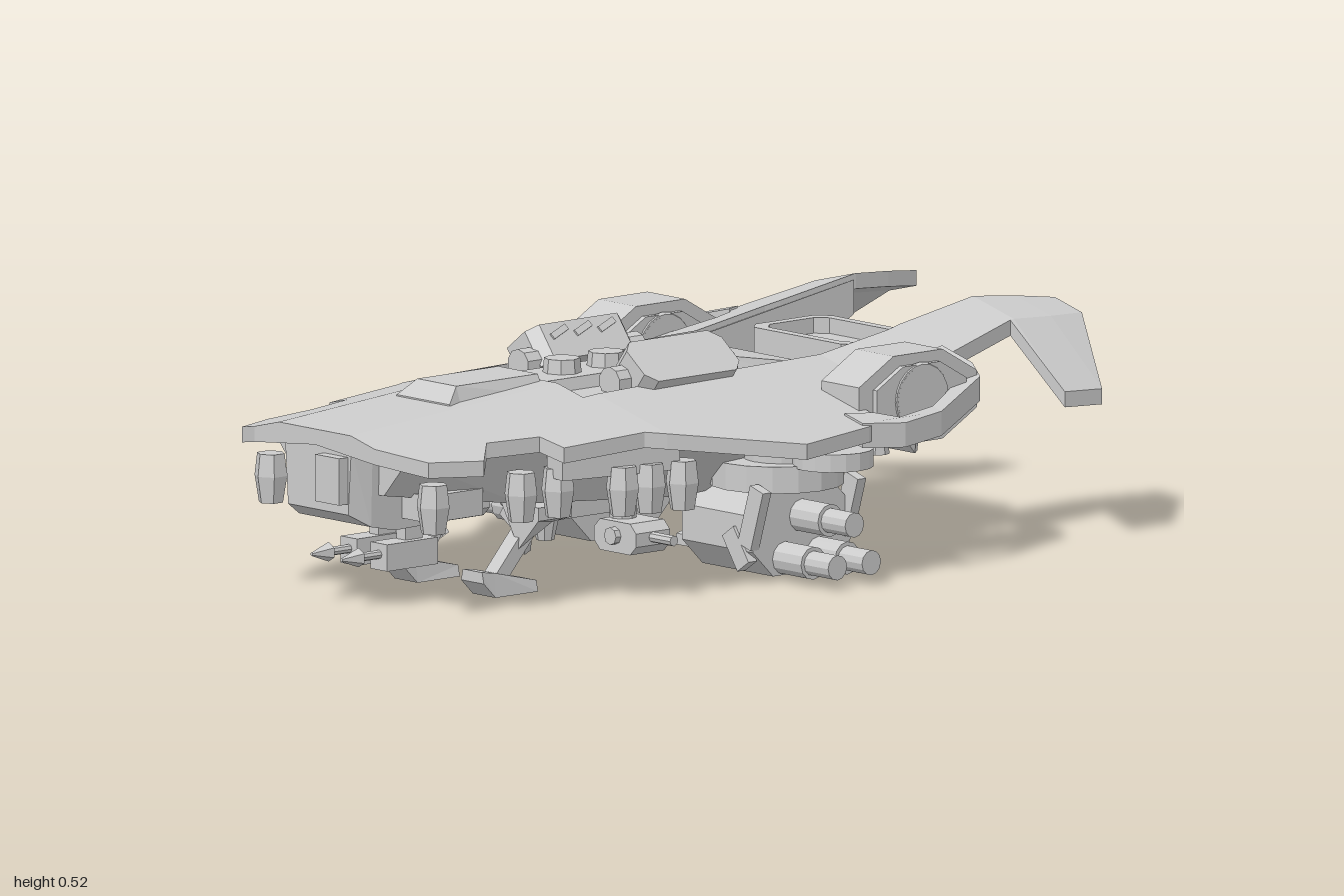
import * as THREE from 'three';

const mat = new THREE.MeshStandardMaterial({ color: 0xcccccc, flatShading: true, side: THREE.DoubleSide });

function add(parent, name, geo, pos = [0, 0, 0], rot = [0, 0, 0]) {
  const m = new THREE.Mesh(geo, mat);
  m.name = name;
  m.position.set(...pos);
  m.rotation.set(...rot);
  parent.add(m);
  return m;
}
const box = (w, h, d) => new THREE.BoxGeometry(w, h, d);
const cyl = (r1, r2, h, n = 8) => new THREE.CylinderGeometry(r1, r2, h, n);
const AXIS_X = [0, 0, -Math.PI / 2], AXIS_Z = [Math.PI / 2, 0, 0];

// Skin a list of cross-sections (front to back, corners counter-clockwise seen from the front)
function loft(sections) {
  const n = sections[0].length, pos = sections.flat(2), idx = [];
  for (let s = 0; s < sections.length - 1; s++)
    for (let i = 0; i < n; i++) {
      const a = s * n + i, b = s * n + (i + 1) % n;
      idx.push(a, a + n, b, b, a + n, b + n);
    }
  const e = (sections.length - 1) * n;
  for (let i = 1; i < n - 1; i++) idx.push(0, i, i + 1, e, e + i + 1, e + i);
  const g = new THREE.BufferGeometry();
  g.setAttribute('position', new THREE.Float32BufferAttribute(pos, 3));
  g.setIndex(idx);
  const flat = g.toNonIndexed();
  flat.computeVertexNormals();
  return flat;
}
// Symmetric section: half widths at top and bottom, with their heights
const trap = ([z, wt, wb, yt, yb]) => [[-wb, yb, z], [wb, yb, z], [wt, yt, z], [-wt, yt, z]];

// Height of the armour shell at any plan position
const RIDGE = [[1, 0.4], [0.3, 0.455], [-0.33, 0.465], [-0.8, 0.54], [-1, 0.525]];
function shellY(x, z) {
  let i = 0;
  while (i < RIDGE.length - 2 && z < RIDGE[i + 1][0]) i++;
  const [z0, y0] = RIDGE[i], [z1, y1] = RIDGE[i + 1];
  const y = y0 + (y1 - y0) * (z - z0) / (z1 - z0);
  const droop = z < -0.7 ? 0.58 * Math.max(0, x - 0.33) : 0;
  return y - 0.25 * Math.max(0, x - 0.12) - droop;
}

// Half of the shell: z, inner x, outer x
const PLAN = [
  [0.98, 0, 0.2], [0.92, 0, 0.31], [0.8, 0, 0.36], [0.73, 0, 0.29], [0.6, 0, 0.32], [0.59, 0, 0.39],
  [0.371, 0, 0.41], [0.37, 0.205, 0.41], [0.33, 0.205, 0.44], [0.06, 0.205, 0.6], [-0.15, 0.205, 0.57],
  [-0.21, 0.205, 0.55], [-0.215, 0.205, 0.37], [-0.33, 0.205, 0.36], [-0.43, 0.205, 0.33], [-0.48, 0.205, 0.31],
  [-0.53, 0.205, 0.32], [-0.57, 0.2, 0.37], [-0.78, 0.195, 0.33], [-0.79, 0.195, 0.5], [-0.9, 0.21, 0.5], [-1, 0.23, 0.32],
];
function shellHalf() {
  return loft(PLAN.map(([z, xi, xo]) => {
    const xs = [xi, 0.12, 0.33, xo].map(x => Math.min(xo, Math.max(xi, x)));
    const top = xs.map(x => [x, shellY(x, z), z]);
    const low = xs.map(x => [x, shellY(x, z) - 0.035, z]);
    return [...low, ...top.reverse()];
  }));
}

// Curved guard around the side fan, bent to follow the shell
function fanGuard() {
  const pts = [[0.56, 0.14], [0.59, 0.24], [0.575, 0.36], [0.5, 0.54], [0.44, 0.57], [0.34, 0.57],
    [0.34, 0.545], [0.43, 0.545], [0.48, 0.5], [0.545, 0.36], [0.56, 0.25], [0.52, 0.21], [0.5, 0.14]];
  const g = new THREE.ExtrudeGeometry(new THREE.Shape(pts.map(p => new THREE.Vector2(...p))),
    { depth: 0.055, bevelEnabled: false });
  g.rotateX(-Math.PI / 2);
  const p = g.attributes.position;
  for (let i = 0; i < p.count; i++) p.setY(i, p.getY(i) + shellY(p.getX(i), p.getZ(i)) - 0.05);
  g.computeVertexNormals();
  return g;
}

function chamferRect(w, d, c, Type = THREE.Shape) {
  return new Type([[-w, -d + c], [-w + c, -d], [w - c, -d], [w, -d + c], [w, d - c], [w - c, d], [-w + c, d], [-w, d - c]]
    .map(p => new THREE.Vector2(...p)));
}
const chamferBlock = (w, d, c, depth) => new THREE.ExtrudeGeometry(chamferRect(w, d, c), { depth, bevelEnabled: false });

// Everything that exists once on each side, built for +x
function buildSide() {
  const s = new THREE.Group();
  add(s, 'armourShell', shellHalf());
  // Deep boom under the tail
  add(s, 'tailBoom', loft([[-0.1, 0.36, 0.21], [-0.35, 0.33, 0.235], [-0.57, 0.31, 0.315], [-0.78, 0.29, 0.43]].map(
    ([z, x, yb]) => [[0.19, yb, z], [0.23, yb, z], [x, shellY(x, z) - 0.02, z], [0.19, shellY(0.2, z) - 0.01, z]])));

  // Side fan: octagonal cowl, wider middle band and ringed faces
  const fan = new THREE.Group();
  fan.name = 'sideFan';
  fan.position.set(0.428, 0.38, -0.365);
  for (const [name, r, w] of [['fanCowl', 0.145, 0.125], ['fanBand', 0.11, 0.15]])
    add(fan, name, cyl(r, r, w).rotateY(Math.PI / 8).rotateZ(-Math.PI / 2).scale(1, 0.75, 1.3));
  for (const d of [-1, 1]) {
    add(fan, 'fanRing', new THREE.TorusGeometry(0.072, 0.009, 6, 20), [d * 0.07, 0, 0], [0, Math.PI / 2, 0]);
    add(fan, 'fanDisc', cyl(0.072, 0.072, 0.01, 20), [d * 0.073, 0, 0], AXIS_X);
  }
  add(fan, 'fanAxle', cyl(0.025, 0.025, 0.12, 8), [-0.09, 0, 0], AXIS_X);
  s.add(fan);
  add(s, 'fanGuard', fanGuard());

  // Sideways gun turret hanging below the wing
  add(s, 'turretArm', cyl(0.09, 0.09, 0.04, 16), [0.495, 0.277, -0.11]);
  add(s, 'turretPillar', cyl(0.09, 0.09, 0.09, 16), [0.36, 0.3, -0.085]);
  add(s, 'turretBearing', cyl(0.15, 0.15, 0.06, 16), [0.335, 0.232, -0.085]);
  add(s, 'turretBody', chamferBlock(0.145, 0.1, 0.06, 0.235).rotateY(Math.PI / 2), [0.185, 0.112, -0.085]);
  for (const [y, z] of [[0.05, -0.035], [0.05, -0.135], [0.14, -0.085]]) {
    add(s, 'barrelSleeve', cyl(0.037, 0.037, 0.17, 12), [0.43, y, z], AXIS_X);
    add(s, 'barrel', cyl(0.028, 0.028, 0.1, 12), [0.545, y, z], AXIS_X);
  }
  for (const z of [0.055, -0.225]) {
    add(s, 'turretBracket', box(0.045, 0.14, 0.025), [0.42, 0.15, z], [0, 0, -0.3]);
    add(s, 'turretClaw', box(0.045, 0.09, 0.025), [0.37, 0.075, z], [0, 0, 0.6]);
  }

  // Door gun
  add(s, 'doorGunBody', chamferBlock(0.07, 0.035, 0.02, 0.1), [0.3, 0.127, 0.26]);
  add(s, 'doorGunBarrel', cyl(0.012, 0.012, 0.08), [0.4, 0.13, 0.31], AXIS_X);
  add(s, 'doorGunSight', cyl(0.02, 0.02, 0.02), [0.3, 0.13, 0.365], AXIS_Z);
  add(s, 'doorGunMount', cyl(0.03, 0.03, 0.08), [0.27, 0.19, 0.31]);

  // Small lift thrusters along the underside
  for (const [x, z] of [[0.27, 0.87], [0.28, 0.62], [0.29, 0.52], [0.37, 0.4], [0.38, 0.33], [0.4, 0.25]]) {
    add(s, 'thrusterHousing', cyl(0.032, 0.038, 0.05, 6), [x, 0.275, z]);
    add(s, 'thrusterNozzle', cyl(0.038, 0.028, 0.06, 6), [x, 0.22, z]);
  }
  add(s, 'thrusterFairing', box(0.07, 0.06, 0.3), [0.34, 0.31, 0.4], [0, -0.2, 0]);
  add(s, 'chinBlock', box(0.1, 0.06, 0.16), [0.16, 0.23, 0.75]);

  // Landing legs: front and rear, with upturned toes
  for (const [x, z, d] of [[0.13, 0.55, 1], [0.05, -0.24, -1]]) {
    const toe = [[0.08, 0.035, 0.06], [0.045, 0, 0.055], [-0.08, 0, 0.025]].map(([dz, lo, hi]) => [z + d * dz, lo, hi]);
    if (d < 0) toe.reverse();
    add(s, 'foot', loft(toe.map(
      ([fz, lo, hi]) => [[x - 0.038, lo, fz], [x + 0.038, lo, fz], [x + 0.032, hi, fz], [x - 0.032, hi, fz]])));
    add(s, 'legStrut', box(0.04, 0.2, 0.035), [x + 0.01, 0.11, z - d * 0.04], [-d * 0.65, 0, -0.1]);
    add(s, 'legBrace', box(0.015, 0.13, 0.02), [x + 0.035, 0.14, z - d * 0.05], [d * 0.4, 0, -0.5]);
  }
  add(s, 'legFairing', loft([[0.52, 0.08], [0.42, 0.03]].map(
    ([z, h]) => [[0.16, 0.18 - h, z], [0.225, 0.17, z], [0.225, 0.2, z], [0.1, 0.2, z]])));

  // Chin gun with a pointed muzzle
  add(s, 'chinGunBody', box(0.055, 0.06, 0.15), [0.05, 0.105, 0.76]);
  add(s, 'chinGunBarrel', cyl(0.01, 0.01, 0.1), [0.05, 0.11, 0.87], AXIS_Z);
  add(s, 'chinGunMuzzle', cyl(0.004, 0.022, 0.05, 6), [0.05, 0.11, 0.92], AXIS_Z);
  add(s, 'chinGunMount', box(0.03, 0.08, 0.05), [0.045, 0.16, 0.74]);

  // Canted pod on the upper deck, with a row of slanted vents
  const upper = new THREE.Group();
  upper.name = 'deckPod';
  upper.position.set(0.172, 0.45, 0.07);
  upper.rotation.z = -0.65;
  add(upper, 'podBody', chamferBlock(0.062, 0.14, 0.025, 0.09).rotateX(-Math.PI / 2), [0, -0.045, 0]);
  for (const z of [-0.15, 0.15]) add(upper, 'podCap', cyl(0.035, 0.035, 0.05, 10), [-0.01, -0.02, z], AXIS_Z);
  for (let i = 0; i < 3; i++) add(upper, 'podVent', box(0.012, 0.015, 0.055), [-0.06, 0.02, -0.07 + i * 0.07], [0.35, 0, 0]);
  s.add(upper);
  return s;
}

export function createModel() {
  const model = new THREE.Group();
  model.name = 'gunship';
  for (const side of [1, -1]) {
    const s = buildSide();
    s.name = side > 0 ? 'leftSide' : 'rightSide';
    s.scale.x = side;
    model.add(s);
  }

  // Hull below the shell and the nose cabin
  add(model, 'hull', loft([
    [0.9, 0.22, 0.14, 0.35, 0.26], [0.55, 0.29, 0.2, 0.36, 0.21], [0.1, 0.42, 0.24, 0.34, 0.18],
    [-0.15, 0.36, 0.2, 0.36, 0.19], [-0.33, 0.2, 0.17, 0.4, 0.24]].map(trap)));
  add(model, 'noseCabin', loft([
    [0.97, 0.11, 0.1, 0.37, 0.22], [0.92, 0.125, 0.12, 0.375, 0.19], [0.85, 0.125, 0.12, 0.38, 0.175],
    [0.62, 0.125, 0.12, 0.38, 0.18]].map(trap)));
  add(model, 'noseWindow', box(0.08, 0.105, 0.05), [0.06, 0.297, 0.972]);
  add(model, 'bellyKeel', box(0.14, 0.07, 0.26), [0, 0.165, 0.22]);
  add(model, 'bellySensor', cyl(0.035, 0.02, 0.07), [0, 0.11, 0.3]);
  for (const a of [-1, 1]) add(model, 'bellyBrace', box(0.05, 0.03, 0.6), [0, 0.19, 0.2], [0, a * 0.6, 0]);

  // Recessed upper deck, hatches and intake
  add(model, 'upperDeck', loft([
    [0.365, 0.204, 0.204, 0.418, 0.3], [-0.15, 0.204, 0.204, 0.418, 0.3], [-0.33, 0.204, 0.204, 0.39, 0.28]].map(trap)));
  add(model, 'deckSpine', loft([
    [0.365, 0.07, 0.08, 0.445, 0.41], [-0.15, 0.07, 0.08, 0.445, 0.41], [-0.33, 0.17, 0.18, 0.42, 0.38]].map(trap)));
  for (const z of [0.25, 0.12, 0]) add(model, 'roofHatch', cyl(0.04, 0.045, 0.05, 8), [0, 0.452, z]);
  add(model, 'roofIntake', loft([
    [0.66, 0.088, 0.09, 0.43, 0.4], [0.62, 0.065, 0.088, 0.464, 0.4], [0.38, 0.065, 0.088, 0.464, 0.42]].map(trap)));

  // Rear hopper between the booms, with nozzles underneath
  const rim = chamferRect(0.175, 0.115, 0.03);
  rim.holes.push(chamferRect(0.15, 0.09, 0.025, THREE.Path));
  add(model, 'hopperWall', new THREE.ExtrudeGeometry(rim, { depth: 0.165, bevelEnabled: false })
    .rotateX(-Math.PI / 2), [0, 0.28, -0.56]);
  add(model, 'hopperFloor', box(0.31, 0.13, 0.19), [0, 0.345, -0.56]);
  add(model, 'hopperBase', loft([
    [-0.445, 0.145, 0.145, 0.29, 0.26], [-0.6, 0.175, 0.17, 0.29, 0.23], [-0.645, 0.175, 0.165, 0.29, 0.18],
    [-0.675, 0.145, 0.14, 0.29, 0.18]].map(trap)));
  add(model, 'hopperBeam', box(0.4, 0.05, 0.1), [0, 0.38, -0.54]);
  for (const x of [-0.12, -0.04, 0.04, 0.12])
    for (const z of [-0.5, -0.57]) add(model, 'rearNozzle', cyl(0.022, 0.03, 0.075), [x, 0.22, z]);
  return model;
}
